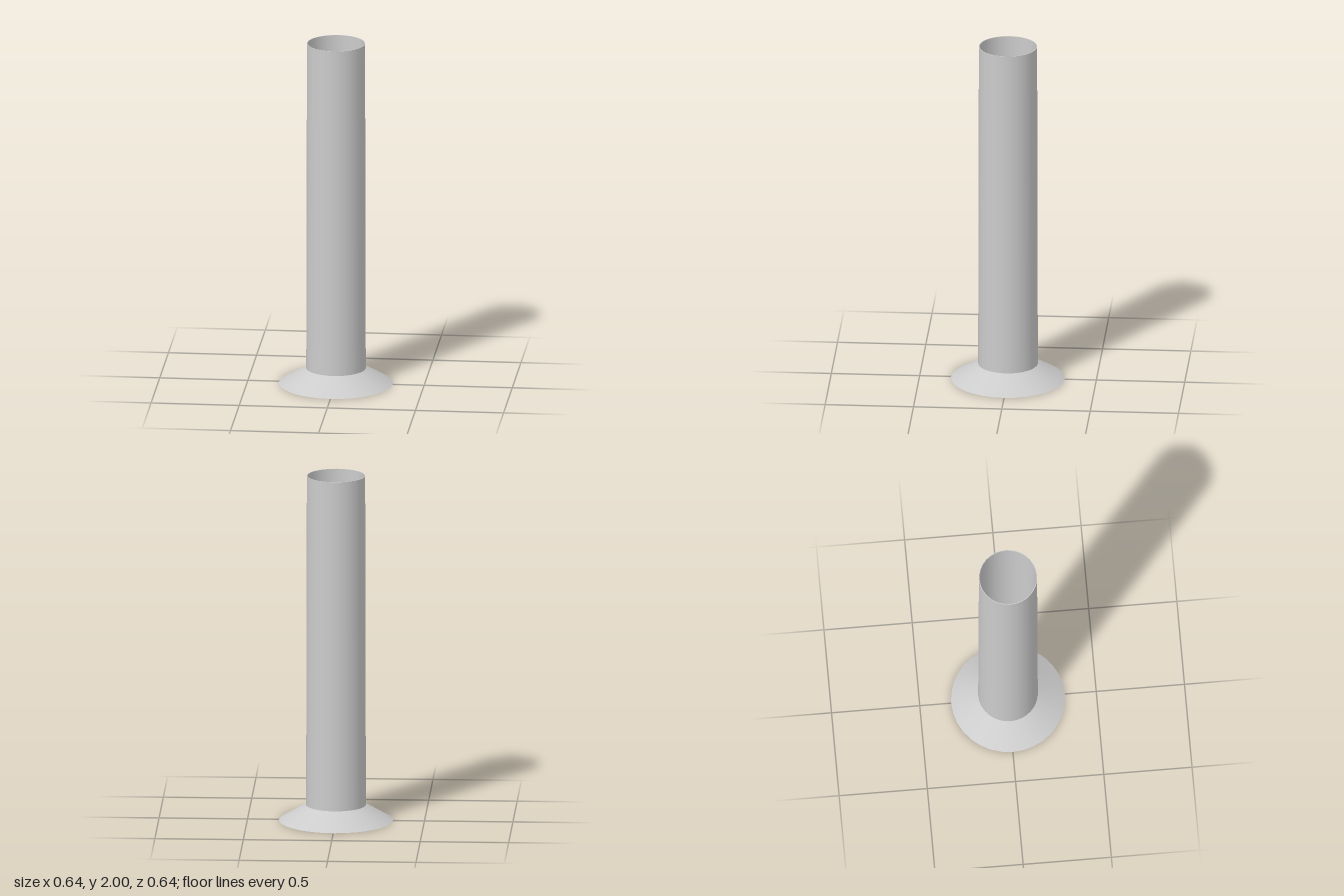
import * as THREE from 'three';

const SEGMENTS = 32;

export function createModel() {
  const model = new THREE.Group();
  const material = new THREE.MeshStandardMaterial({ color: 0xcccccc });

  function add(name, geometry, y) {
    const mesh = new THREE.Mesh(geometry, material);
    mesh.name = name;
    mesh.position.y = y;
    model.add(mesh);
    return mesh;
  }

  // Flared foot, closed at the bottom; its top is the floor of the tube
  add('base', new THREE.CylinderGeometry(0.17, 0.322, 0.09, SEGMENTS), 0.045);

  // Tall, very slightly tapered tube with a thin wall
  const bottom = 0.09, top = 2, height = top - bottom;
  const middle = (bottom + top) / 2;
  add('tubeOuterWall', new THREE.CylinderGeometry(0.165, 0.169, height, SEGMENTS, 1, true), middle);

  // Inner wall, with its surface facing the axis
  const profile = [new THREE.Vector2(0.161, top), new THREE.Vector2(0.153, bottom)];
  add('tubeInnerWall', new THREE.LatheGeometry(profile, SEGMENTS), 0);

  // Flat lip joining the two walls
  const rim = add('tubeRim', new THREE.RingGeometry(0.161, 0.165, SEGMENTS), top);
  rim.rotation.x = -Math.PI / 2;

  return model;
}
